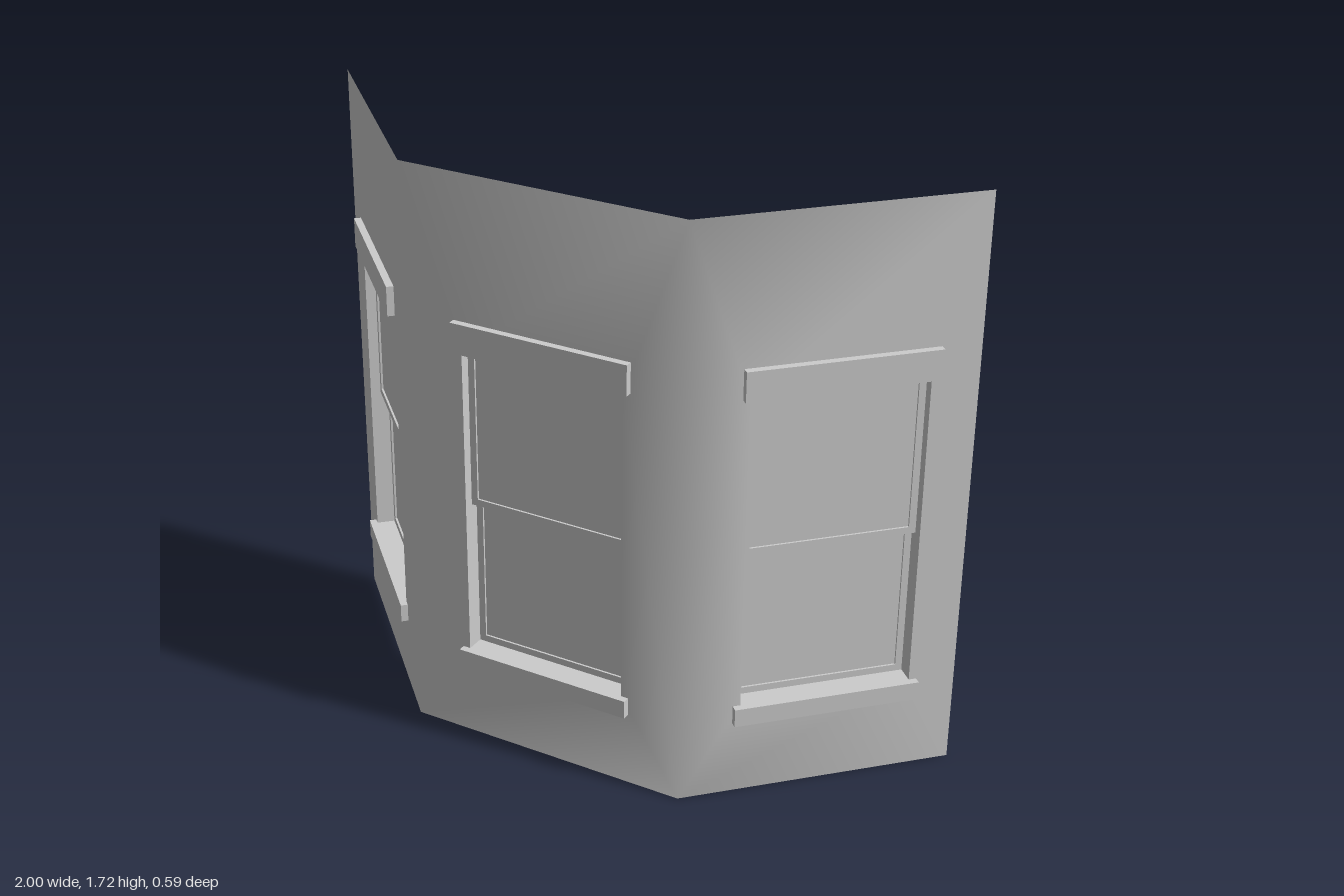
import * as THREE from 'three';
import { mergeGeometries, mergeVertices } from 'three/addons/utils/BufferGeometryUtils.js';

const HEIGHT = 1.72, HALF = 0.43, FRONT = 0.277, BACK = -0.295;
const OPEN_W = 0.496, OPEN_BOTTOM = 0.28, OPEN_TOP = 1.213;
const mat = new THREE.MeshStandardMaterial({ color: 0xcccccc, side: THREE.DoubleSide });

const rect = (Type, x0, y0, x1, y1) => new Type([
  new THREE.Vector2(x0, y0), new THREE.Vector2(x1, y0),
  new THREE.Vector2(x1, y1), new THREE.Vector2(x0, y1)]);

function add(parent, name, geometry, x = 0, y = 0, z = 0) {
  const mesh = new THREE.Mesh(geometry, mat);
  mesh.name = name;
  mesh.position.set(x, y, z);
  parent.add(mesh);
}

// Flat wall panel with a window opening centred at x = shift
function panelGeometry(width, shift) {
  const shape = rect(THREE.Shape, -width / 2, 0, width / 2, HEIGHT);
  shape.holes.push(rect(THREE.Path, shift - OPEN_W / 2, OPEN_BOTTOM, shift + OPEN_W / 2, OPEN_TOP));
  const g = new THREE.ShapeGeometry(shape);
  g.deleteAttribute('uv');
  g.deleteAttribute('normal');
  return g;
}

// Sash: rectangular frame with a recessed pane
function addSash(parent, name, y0, y1, zFront) {
  const w = OPEN_W / 2, rail = 0.02, depth = 0.024;
  const sash = new THREE.Group();
  sash.name = name;
  const shape = rect(THREE.Shape, -w, y0, w, y1);
  shape.holes.push(rect(THREE.Path, -w + rail, y0 + rail, w - rail, y1 - rail));
  add(sash, 'sashFrame', new THREE.ExtrudeGeometry(shape, { depth, bevelEnabled: false }), 0, 0, zFront - depth);
  add(sash, 'pane', new THREE.BoxGeometry(2 * (w - rail), y1 - y0 - 2 * rail, 0.012), 0, (y0 + y1) / 2, zFront - depth / 2);
  parent.add(sash);
}

// Double-hung window, local z = 0 on the wall face
function makeWindow() {
  const win = new THREE.Group();
  win.name = 'window';
  const h = OPEN_TOP - OPEN_BOTTOM, mid = (OPEN_TOP + OPEN_BOTTOM) / 2, d = 0.054;
  for (const s of [-1, 1]) {
    add(win, 'jamb', new THREE.PlaneGeometry(d, h).rotateY(-s * Math.PI / 2), s * OPEN_W / 2, mid, -d / 2);
    add(win, s > 0 ? 'revealHead' : 'revealBase',
      new THREE.PlaneGeometry(OPEN_W, d).rotateX(s * Math.PI / 2), 0, mid + s * h / 2, -d / 2);
  }
  addSash(win, 'upperSash', 0.735, OPEN_TOP, -0.03);
  addSash(win, 'lowerSash', OPEN_BOTTOM, 0.755, -d);
  add(win, 'lintel', new THREE.BoxGeometry(0.54, 0.088, 0.026), 0, 1.257, 0.008);
  add(win, 'sill', new THREE.BoxGeometry(0.54, 0.055, 0.026), 0, 0.2525, 0.008);
  return win;
}

export function createModel() {
  const model = new THREE.Group();
  model.name = 'bayWall';
  const panels = [];

  // Centre panel and two panels angled back
  for (const side of [-1, 0, 1]) {
    const run = 1 - HALF, drop = FRONT - BACK;
    const width = side ? Math.hypot(run, drop) : 2 * HALF;
    const shift = side * 0.02;
    const place = new THREE.Object3D();
    place.position.set(side * (HALF + run / 2), 0, side ? (FRONT + BACK) / 2 : FRONT);
    place.rotation.y = side * Math.atan2(drop, run);
    place.updateMatrix();
    panels.push(panelGeometry(width, shift).applyMatrix4(place.matrix));

    const win = makeWindow();
    win.position.set(shift, 0, 0).applyMatrix4(place.matrix);
    win.rotation.copy(place.rotation);
    model.add(win);
  }

  // Join the panels so the folds shade smoothly
  const wall = mergeVertices(mergeGeometries(panels), 1e-4);
  wall.computeVertexNormals();
  add(model, 'wall', wall);
  return model;
}
